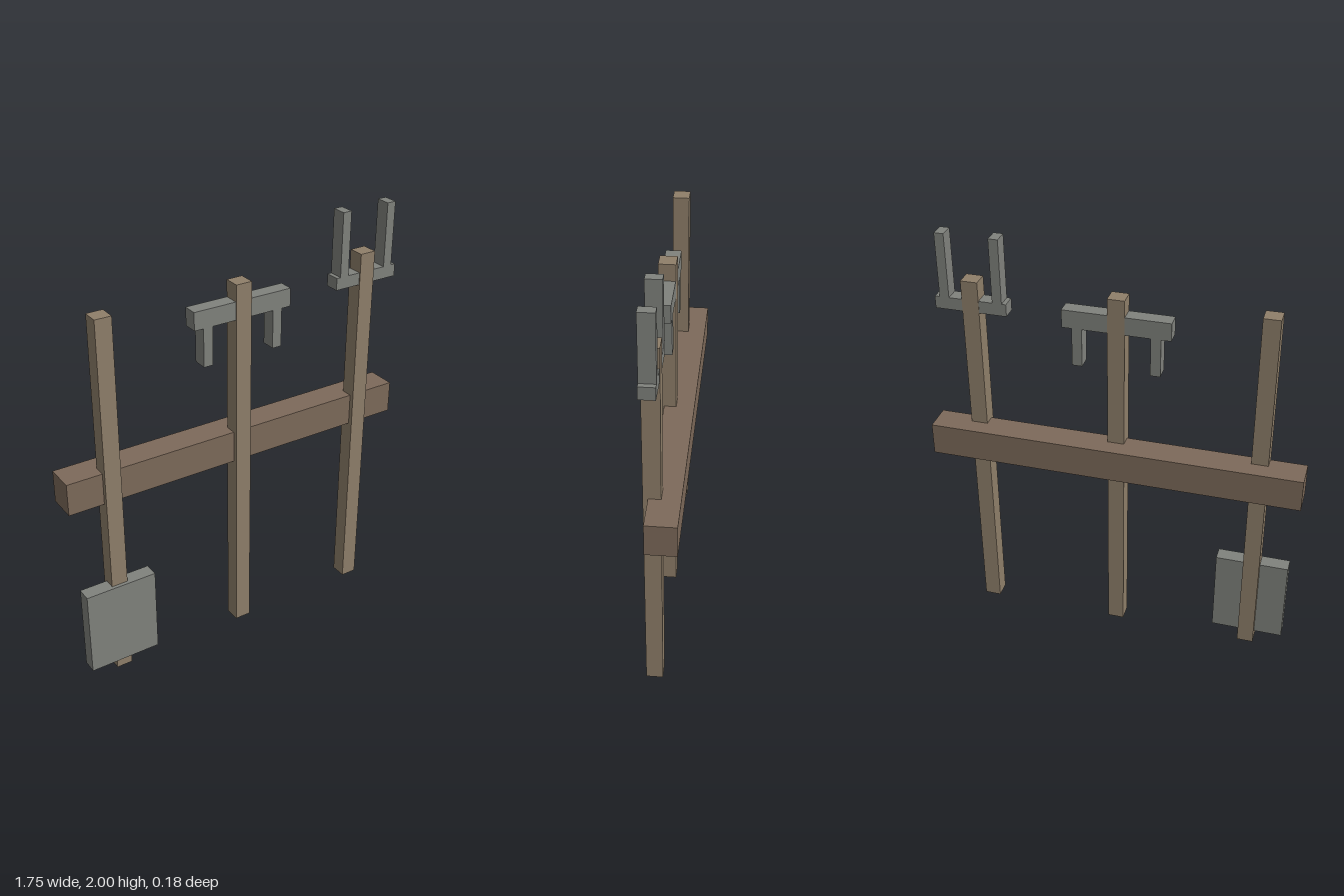
import * as THREE from 'three';

const WOOD = new THREE.MeshStandardMaterial({ color: 0x8f7f6a });
const DARK_WOOD = new THREE.MeshStandardMaterial({ color: 0x7d6a5a });
const METAL = new THREE.MeshStandardMaterial({ color: 0x80827d });

// Box given by its extents along each axis
function block(name, material, [x0, x1], [y0, y1], [z0, z1]) {
  const mesh = new THREE.Mesh(new THREE.BoxGeometry(x1 - x0, y1 - y0, z1 - z0), material);
  mesh.position.set((x0 + x1) / 2, (y0 + y1) / 2, (z0 + z1) / 2);
  mesh.name = name;
  return mesh;
}

// Tool group with a square wooden handle
function tool(name, x) {
  const group = new THREE.Group();
  group.name = name;
  group.position.x = x;
  group.add(block('handle', WOOD, [-0.039, 0.039], [0, 1.788], [-0.006, 0.071]));
  return group;
}

export function createModel() {
  const model = new THREE.Group();
  model.name = 'toolRack';
  const headZ = [-0.004, 0.066];

  // Wall beam holding the tools
  model.add(block('beam', DARK_WOOD, [-0.875, 0.875], [0.909, 1.063], [-0.089, 0.049]));

  // Shovel, blade down
  const shovel = tool('shovel', -0.667);
  shovel.add(block('shovelBlade', METAL, [-0.173, 0.173], [0.053, 0.475], [0.018, 0.088]));

  // Rake, head up with two hanging teeth
  const rake = tool('rake', 0);
  rake.add(block('rakeHead', METAL, [-0.246, 0.246], [1.624, 1.709], headZ));
  for (const x of [-0.178, 0.178]) {
    rake.add(block('rakeTooth', METAL, [x - 0.023, x + 0.023], [1.442, 1.624], headZ));
  }

  // Fork, two prongs pointing up
  const fork = tool('fork', 0.667);
  fork.add(block('forkHead', METAL, [-0.167, 0.167], [1.64, 1.698], headZ));
  for (const x of [-0.125, 0.122]) {
    fork.add(block('forkProng', METAL, [x - 0.022, x + 0.022], [1.698, 2], headZ));
  }

  model.add(shovel, rake, fork);
  return model;
}
